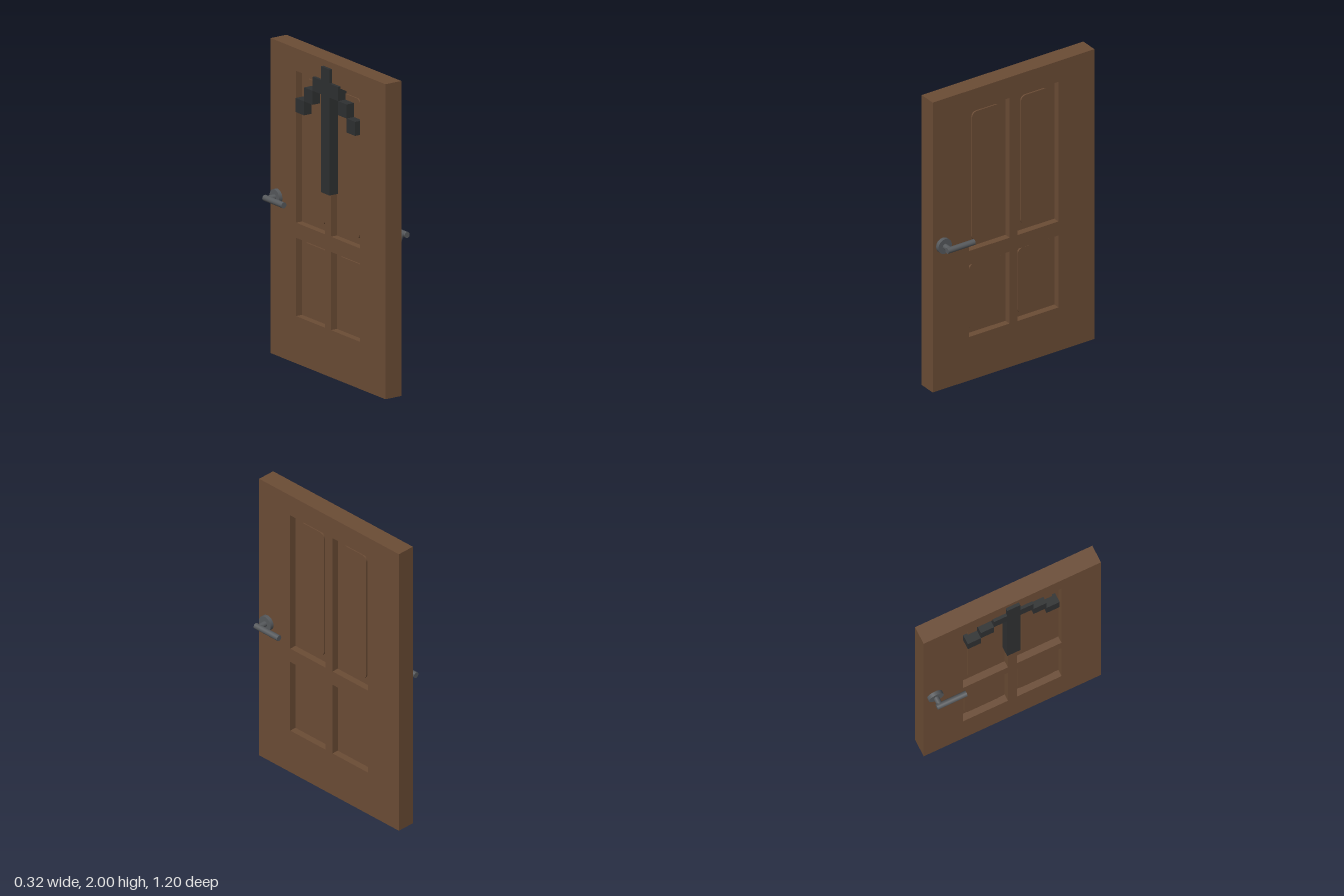
import * as THREE from 'three';

export function createModel() {
  const door = new THREE.Group();
  door.name = 'door';
  const wood = new THREE.MeshStandardMaterial({ color: 0x6b4c35 });
  wood.name = 'brown wood';
  const metal = new THREE.MeshStandardMaterial({ color: 0x56595c });
  metal.name = 'grey metal';
  const iron = new THREE.MeshStandardMaterial({ color: 0x2e3031 });
  iron.name = 'dark iron';

  const add = (parent, name, geometry, material, x = 0, y = 0, z = 0) => {
    const mesh = new THREE.Mesh(geometry, material);
    mesh.name = name;
    mesh.position.set(x, y, z);
    parent.add(mesh);
    return mesh;
  };

  const HALF = 0.06, RECESS = 0.045, FLOOR = HALF - RECESS;

  // Rectangle with optional rounded corners
  const rect = (x0, y0, x1, y1, r = 0, Type = THREE.Shape) => {
    const s = new Type();
    if (!r) {
      s.moveTo(x0, y0).lineTo(x1, y0).lineTo(x1, y1).lineTo(x0, y1).lineTo(x0, y0);
      return s;
    }
    s.absarc(x1 - r, y0 + r, r, -Math.PI / 2, 0);
    s.absarc(x1 - r, y1 - r, r, 0, Math.PI / 2);
    s.absarc(x0 + r, y1 - r, r, Math.PI / 2, Math.PI);
    s.absarc(x0 + r, y0 + r, r, Math.PI, Math.PI * 1.5);
    s.closePath();
    return s;
  };
  // Extrude a shape drawn on the door face out along +x
  const slab = (shape, depth) =>
    new THREE.ExtrudeGeometry(shape, { depth, bevelEnabled: false, curveSegments: 6 }).rotateY(Math.PI / 2);

  // Panel rows: recess bottom and top, raised field insets
  const rows = [
    { y0: 0.3, y1: 0.797, insetU: 0.026, insetV: 0.023 },
    { y0: 0.893, y1: 1.857, insetU: 0.049, insetV: 0.038 },
  ];

  add(door, 'core', new THREE.BoxGeometry(FLOOR * 2, 2, 1.2), wood, 0, 1, 0);

  // One face of the door with its recessed panels and handle
  function makeSide(name, handleY) {
    const side = new THREE.Group();
    side.name = name;
    const frame = rect(-0.6, 0, 0.6, 2);
    for (const { y0, y1, insetU, insetV } of rows) {
      for (const [u0, u1] of [[-0.333, -0.03], [0.03, 0.333]]) {
        frame.holes.push(rect(u0, y0, u1, y1, 0, THREE.Path));
        const field = rect(u0 + insetU, y0 + insetV, u1 - insetU, y1 - insetV, 0.035);
        add(side, 'raisedPanel', slab(field, 0.01), wood, FLOOR);
      }
    }
    add(side, 'frame', slab(frame, RECESS), wood, FLOOR);

    // Lever handle
    const handle = new THREE.Group();
    handle.name = 'handle';
    handle.position.set(HALF, handleY, 0.526);
    const rod = (r, length, n) => new THREE.CylinderGeometry(r, r, length, n);
    add(handle, 'rosette', rod(0.05, 0.025, 32).rotateZ(Math.PI / 2), metal, 0.0125);
    add(handle, 'stem', rod(0.018, 0.075, 20).rotateZ(Math.PI / 2), metal, 0.0425);
    add(handle, 'lever', rod(0.019, 0.2, 20).rotateX(Math.PI / 2), metal, 0.079, 0, -0.076);
    side.add(handle);
    door.add(side);
    return side;
  }
  makeSide('leftFace', 0.996);
  makeSide('rightFace', 1.012).rotation.y = Math.PI;

  // Stepped arrow emblem made of square blocks
  const emblem = new THREE.Group();
  emblem.name = 'arrowEmblem';
  const CELL = 0.0888, DEPTH = 0.07, TOP = 1.96;
  emblem.position.set(-0.08 + DEPTH / 2, TOP, 0);
  add(emblem, 'shaft', new THREE.BoxGeometry(DEPTH, CELL * 9, CELL), iron, 0, -CELL * 4.5, 0);
  for (const s of [-1, 1])
    for (let i = 1; i <= 3; i++)
      add(emblem, 'armBlock', new THREE.BoxGeometry(DEPTH, CELL, CELL), iron, 0, -CELL * (i + 0.5), s * CELL * i);
  door.add(emblem);

  return door;
}
